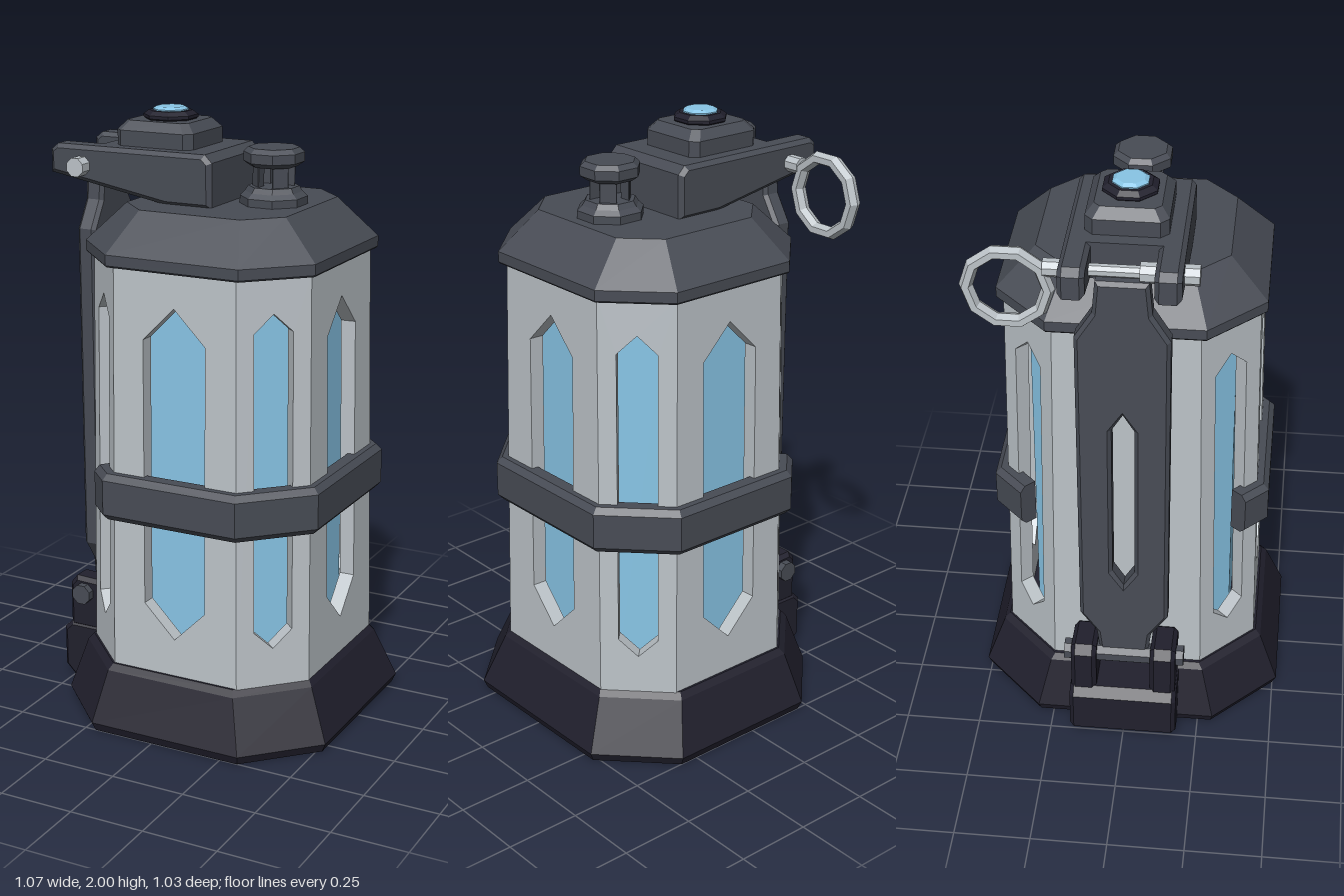
import * as THREE from 'three';

const mat = (name, color) => Object.assign(new THREE.MeshStandardMaterial({ color }), { name });
const V = (x, y, z) => new THREE.Vector3(x, y, z);

// Facet every triangle for the low-poly look
function flat(geo) {
  const g = geo.index ? geo.toNonIndexed() : geo;
  g.computeVertexNormals();
  return g;
}

// Skin a list of closed rings and cap both ends
function loft(rings) {
  const p = [], n = rings[0].length;
  const tri = (...v) => v.forEach(q => p.push(q.x, q.y, q.z));
  for (let i = 0; i < rings.length - 1; i++) {
    for (let j = 0; j < n; j++) {
      const k = (j + 1) % n, a = rings[i], b = rings[i + 1];
      tri(a[j], a[k], b[k]);
      tri(a[j], b[k], b[j]);
    }
  }
  const first = rings[0], last = rings[rings.length - 1];
  for (let j = 1; j < n - 1; j++) {
    tri(first[0], first[j + 1], first[j]);
    tri(last[0], last[j], last[j + 1]);
  }
  const g = new THREE.BufferGeometry();
  g.setAttribute('position', new THREE.Float32BufferAttribute(p, 3));
  return g;
}

// Rectangle with cut corners, starting at the front left
const octagon = (y, hx, hz, c, cx = 0.04) => [
  [-hx + c, hz], [hx - c, hz], [hx, hz - c], [hx, -hz + c],
  [hx - c, -hz], [-hx + c, -hz], [-hx, -hz + c], [-hx, hz - c],
].map(([x, z]) => V(cx + x, y, z));

const shapeOf = pts => new THREE.Shape(pts.map(([x, y]) => new THREE.Vector2(x, y)));
const hexPoints = (w, y0, y1, tip) =>
  [[0, y0], [w, y0 + tip], [w, y1 - tip], [0, y1], [-w, y1 - tip], [-w, y0 + tip]];
const extrude = (shape, depth) => new THREE.ExtrudeGeometry(shape, { depth, bevelEnabled: false });
// Extrusion with chamfered rims that keeps the outline and total depth
const chamfered = (shape, depth, b = 0.014) => new THREE.ExtrudeGeometry(shape, {
  depth: depth - 2 * b, bevelThickness: b, bevelSize: b, bevelOffset: -b, bevelSegments: 1,
}).translate(0, 0, b);

export function createModel() {
  const steel = mat('light steel', 0xbcc3c8);
  const grey = mat('dark grey', 0x484c55);
  const navy = mat('near black', 0x21202d);
  const blue = mat('blue glass', 0x88c5e6);
  const model = new THREE.Group();

  function add(name, geo, material, x = 0, y = 0, z = 0) {
    const m = new THREE.Mesh(flat(geo), material);
    m.name = name;
    m.position.set(x, y, z);
    model.add(m);
  }
  // Eight-sided turned part with flat sides facing front
  const turned = (name, profile, material, x) => {
    const g = new THREE.LatheGeometry(
      profile.map(([r, y]) => new THREE.Vector2(r / Math.cos(Math.PI / 8), y)), 8, Math.PI / 8);
    add(name, g, material, x);
  };
  // Rod along z
  const rod = (name, r, z0, z1, material, x, y) => {
    const g = new THREE.CylinderGeometry(r, r, z1 - z0, 8);
    g.rotateY(Math.PI / 8).rotateX(Math.PI / 2);
    add(name, g, material, x, y, (z0 + z1) / 2);
  };
  // Side profile in x and y given thickness between two z values
  const slab = (name, pts, z0, z1, material) =>
    add(name, chamfered(shapeOf(pts), z1 - z0), material, 0, 0, z0);

  // Flared base
  add('base', loft([
    octagon(0, 0.467, 0.5, 0.205, 0.05), octagon(0.03, 0.48, 0.513, 0.212, 0.05),
    octagon(0.2, 0.42, 0.45, 0.19), octagon(0.22, 0.405, 0.432, 0.185),
  ]), navy);

  // Tapered body: eight wall panels with pointed windows, plain behind the lever
  const low = octagon(0.2, 0.4, 0.425, 0.175, 0.046), high = octagon(1.56, 0.385, 0.4, 0.172);
  for (let i = 0; i < 8; i++) {
    const k = (i + 1) % 8;
    const foot = low[i].clone().add(low[k]).multiplyScalar(0.5);
    const head = high[i].clone().add(high[k]).multiplyScalar(0.5);
    const u = low[k].clone().sub(low[i]).normalize();
    const v = head.clone().sub(foot), h = v.length();
    v.normalize();
    const a = low[i].distanceTo(low[k]) / 2, b = high[i].distanceTo(high[k]) / 2;
    const wall = shapeOf([[-a, 0], [a, 0], [b, h], [-b, h]]);
    const wide = i % 2 === 0;
    if (i !== 6) wall.holes.push(shapeOf(hexPoints(wide ? 0.109 : 0.064, 0.145, 1.24, wide ? 0.109 : 0.06)));
    const place = new THREE.Matrix4().makeBasis(u, v, u.clone().cross(v)).setPosition(foot);
    add('bodyPanel', extrude(wall, 0.05).translate(0, 0, -0.05).applyMatrix4(place), steel);
  }
  // Glass core standing free behind the windows
  add('glassCore', loft([
    octagon(0.2, 0.3, 0.334, 0.125, 0.046), octagon(1.56, 0.305, 0.326, 0.125),
  ]), blue);

  // Sloped cap
  add('cap', loft([
    octagon(1.55, 0.4, 0.415, 0.172), octagon(1.556, 0.405, 0.42, 0.175),
    octagon(1.59, 0.405, 0.42, 0.175), octagon(1.715, 0.28, 0.3, 0.105),
  ]), grey);

  // Open band, stopping partway over both corners next to the lever
  const section = [[-0.06, 0.88], [-0.018, 0.88], [0, 0.86], [0, 0.745], [-0.018, 0.725], [-0.06, 0.725]];
  const loops = section.map(([o, y]) => {
    const q = octagon(y, 0.432 + o, 0.452 + o, 0.195 + 0.586 * o);
    return [q[7].clone().lerp(q[0], 0.63), ...q.slice(0, 6), q[6].clone().lerp(q[5], 0.5)];
  });
  add('band', loft(loops[0].map((_, i) => loops.map(l => l[i]))), grey);

  // Top bracket: two arms joined by a solid middle
  const arm = [[-0.535, 1.785], [-0.11, 1.71], [0.05, 1.71], [0.05, 1.855], [0.025, 1.88], [-0.51, 1.88], [-0.535, 1.86]];
  slab('bracketArm', arm, 0.1, 0.18, grey);
  slab('bracketArm', arm, -0.18, -0.1, grey);
  slab('bracketMiddle', [[-0.37, 1.757], [-0.11, 1.71], ...arm.slice(2, 5), [-0.37, 1.88]], -0.13, 0.13, grey);

  // Stepped button housing
  add('buttonHousing', loft([
    octagon(1.87, 0.138, 0.125, 0.025, -0.188), octagon(1.93, 0.138, 0.125, 0.025, -0.188),
    octagon(1.96, 0.11, 0.1, 0.02, -0.188),
  ]), grey);
  turned('buttonCollar', [[0.07, 1.955], [0.082, 1.965], [0.082, 1.975], [0.065, 1.988], [0, 1.988]], navy, -0.185);
  turned('button', [[0.054, 1.985], [0.054, 1.992], [0.042, 2], [0, 2]], blue, -0.185);

  // Filler knob: flange, cross-drilled eight-sided neck and a lid
  const kx = 0.185;
  turned('knobFlange', [[0.1, 1.71], [0.1, 1.74], [0.085, 1.755], [0.075, 1.772], [0, 1.772]], grey, kx);
  const post = shapeOf([[0.023, 0.023], [0.062, 0.023], [0.062, 0.026], [0.026, 0.062], [0.023, 0.062]]);
  for (let i = 0; i < 4; i++) {
    add('knobNeck', extrude(post, 0.08).rotateX(-Math.PI / 2).rotateY(i * Math.PI / 2), grey, kx, 1.765);
  }
  turned('knobLid', [[0, 1.835], [0.07, 1.835], [0.09, 1.85], [0.09, 1.88], [0.075, 1.895], [0, 1.895]], grey, kx);

  // Safety lever with a long slot
  const plate = shapeOf([[-0.08, 0.33], [0.08, 0.33], [0.09, 0.42], [0.145, 0.5], [0.145, 1.6],
    [0.09, 1.69], [0.08, 1.8], [-0.08, 1.8], [-0.09, 1.69], [-0.145, 1.6], [-0.145, 0.5], [-0.09, 0.42]]);
  plate.holes.push(shapeOf(hexPoints(0.036, 0.63, 1.32, 0.06)));
  add('lever', chamfered(plate, 0.066, 0.012).rotateY(-Math.PI / 2), grey, -0.395);

  // Lower hinge: foot block, two lugs and a pin with heads
  slab('hingeBlock', [[-0.49, 0], [-0.33, 0], [-0.33, 0.21], [-0.5, 0.21], [-0.53, 0.18], [-0.53, 0.04]], -0.18, 0.18, navy);
  const lug = [[-0.505, 0.19], [-0.345, 0.19], [-0.345, 0.36], [-0.365, 0.375], [-0.48, 0.38], [-0.505, 0.35]];
  slab('hingeLug', lug, 0.09, 0.175, navy);
  slab('hingeLug', lug, -0.175, -0.09, navy);
  rod('hingePin', 0.036, -0.2, 0.2, grey, -0.445, 0.325);

  // Pull pin and ring
  rod('pullPin', 0.02, -0.23, 0.2, steel, -0.415, 1.815);
  rod('pullPinHead', 0.032, 0.18, 0.225, steel, -0.415, 1.815);
  rod('pullPinCollar', 0.032, 0.05, 0.11, steel, -0.415, 1.815);
  rod('pullPinEye', 0.028, -0.235, -0.17, steel, -0.415, 1.815);
  const ring = new THREE.TorusGeometry(0.122, 0.021, 6, 10);
  ring.scale(1, 1, 1.2).rotateY(Math.PI / 2);
  add('pullRing', ring, steel, -0.415, 1.742, -0.343);

  return model;
}
